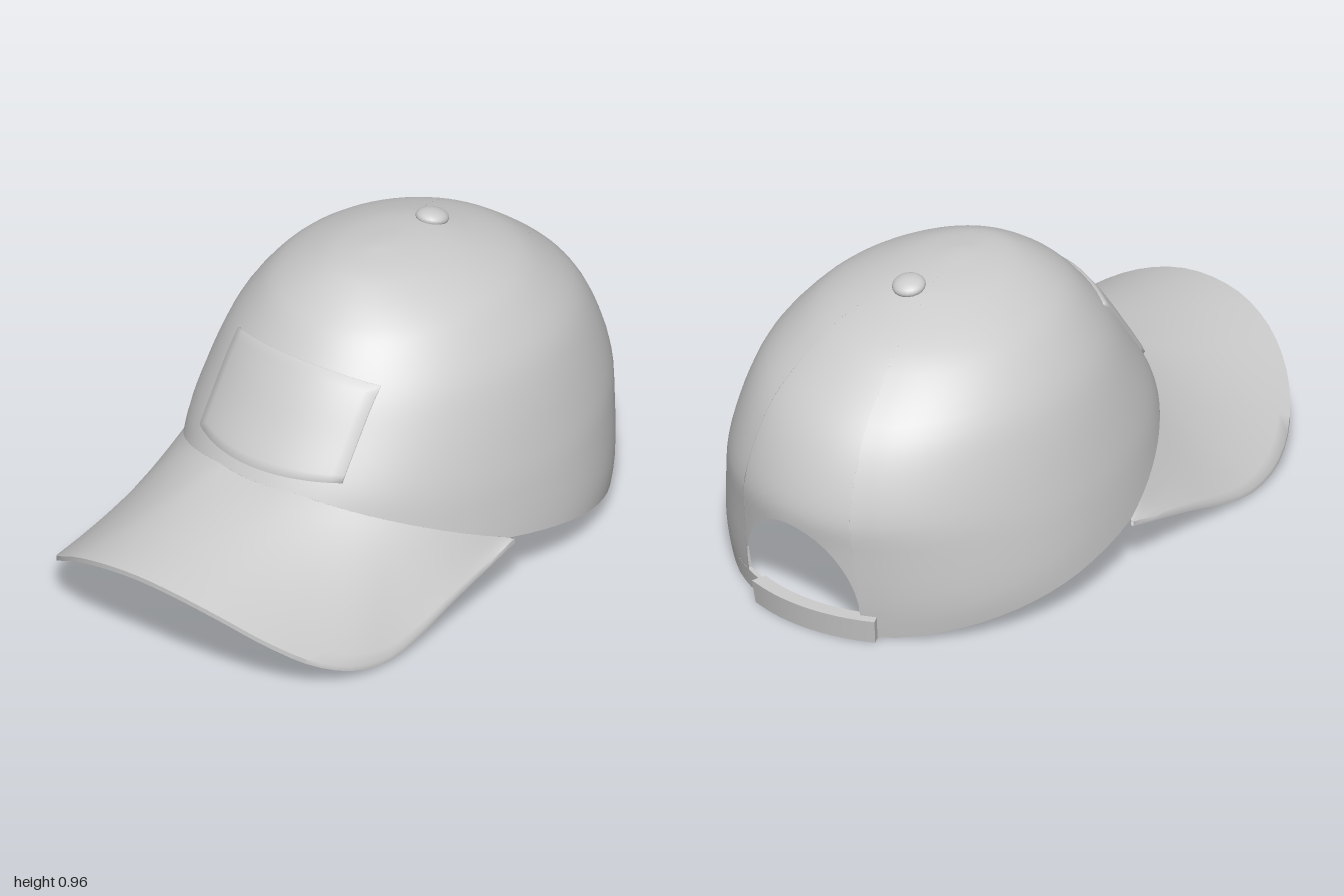
import * as THREE from 'three';
import { mergeVertices, toCreasedNormals } from 'three/addons/utils/BufferGeometryUtils.js';

const V = (x, y, z) => new THREE.Vector3(x, y, z);
const grey = new THREE.MeshStandardMaterial({ color: 0xcccccc, side: THREE.DoubleSide });

// Crown slices from rim to top: height, front z, back z, half width, centre z
const slices = [
  [0.00, 0.53, -0.95, 0.59, -0.30], [0.13, 0.53, -0.97, 0.61, -0.30],
  [0.30, 0.50, -0.99, 0.593, -0.30], [0.42, 0.465, -1.00, 0.57, -0.30],
  [0.57, 0.37, -0.95, 0.53, -0.30], [0.69, 0.29, -0.87, 0.48, -0.30],
  [0.80, 0.20, -0.74, 0.395, -0.28], [0.86, 0.13, -0.64, 0.32, -0.26],
  [0.91, 0.05, -0.50, 0.22, -0.23], [0.94, -0.03, -0.38, 0.125, -0.20],
  [0.957, -0.18, -0.18, 0, -0.18],
];
const frontCurve = new THREE.CatmullRomCurve3(slices.map(([y, f, , w]) => V(f, y, w)), false, 'catmullrom');
const backCurve = new THREE.CatmullRomCurve3(slices.map(([y, , b, , c]) => V(b, y, c)), false, 'catmullrom');

// Curve parameter at a given height
function paramAt(y) {
  let lo = 0, hi = 1;
  for (let i = 0; i < 24; i++) {
    const mid = (lo + hi) / 2;
    if (frontCurve.getPoint(mid).y < y) lo = mid; else hi = mid;
  }
  return (lo + hi) / 2;
}

// Point on the crown; angle 0 is the front, PI / 2 is +x
function crownPoint(angle, s, offset = 0) {
  const f = frontCurve.getPoint(s), b = backCurve.getPoint(s);
  const c = Math.cos(angle), zc = b.z;
  const reach = (c > 0 ? f.x - zc : zc - b.x) + offset;
  return V((f.z + offset) * Math.sin(angle), f.y, zc + reach * c);
}

// Lower rim: rises to the brim in front, dips towards the back
function rimY(angle) {
  const c = Math.cos(angle);
  const z = -0.3 + (c > 0 ? 0.8 : 0.68) * c;
  return z > -0.08 ? 0.18 + 0.24 * Math.min(1, (z + 0.08) / 0.56) : Math.max(0.008, 0.18 + 0.215 * (z + 0.08));
}

// Surface through a grid of points
function grid(nu, nv, point) {
  const pos = [], index = [];
  for (let i = 0; i <= nu; i++) {
    for (let j = 0; j <= nv; j++) {
      pos.push(...point(i, j).toArray());
      if (i < nu && j < nv) {
        const a = i * (nv + 1) + j, b = a + nv + 1;
        index.push(a, b, b + 1, a, b + 1, a + 1);
      }
    }
  }
  const geo = new THREE.BufferGeometry();
  geo.setAttribute('position', new THREE.Float32BufferAttribute(pos, 3));
  geo.setIndex(index);
  const merged = mergeVertices(geo, 1e-5);
  merged.computeVertexNormals();
  return merged;
}

// Closed band following the crown between two angles and two heights
function band(a0, a1, n, bottom, height, inner, outer) {
  const loop = [[outer, 0], [outer, 1], [inner, 1], [inner, 0], [outer, 0]];
  const geo = grid(n + 2, 4, (i, j) => {
    const k = THREE.MathUtils.clamp(i - 1, 0, n);
    const angle = THREE.MathUtils.lerp(a0, a1, k / n);
    // the first and last rings collapse to cap the ends
    const [off, up] = i === 0 || i === n + 2 ? [(inner + outer) / 2, 0.5] : loop[j];
    return crownPoint(angle, paramAt(bottom(angle) + up * height), off);
  });
  return toCreasedNormals(geo, 0.7);
}

export function createModel() {
  const cap = new THREE.Group();
  cap.name = 'cap';
  const add = (name, geo) => {
    const mesh = new THREE.Mesh(geo, grey);
    mesh.name = name;
    cap.add(mesh);
    return mesh;
  };

  // Crown, with an arched opening at the back
  const archHalf = 0.375, columns = [];
  for (let i = 0; i <= 64; i++) {
    const angle = THREE.MathUtils.lerp(Math.PI + archHalf, 3 * Math.PI - archHalf, i / 64);
    columns.push([angle, paramAt(rimY(angle))]);
  }
  for (let i = 0; i <= 20; i++) {
    const phi = (i / 20 - 0.5) * Math.PI;
    columns.push([3 * Math.PI + archHalf * Math.sin(phi), paramAt(0.08 + 0.28 * Math.cos(phi))]);
  }
  add('crown', grid(columns.length - 1, 28, (i, j) => {
    const [angle, s0] = columns[i];
    return crownPoint(angle, THREE.MathUtils.lerp(s0, 1, j / 28));
  }));

  // Inner sweatband along the rim
  add('sweatband', band(Math.PI + archHalf + 0.02, 3 * Math.PI - archHalf - 0.02, 64, rimY, 0.14, -0.014, -0.001));

  // Raised panel on the front, its border tucked into the crown
  add('frontPanel', grid(20, 14, (i, j) => {
    const x = THREE.MathUtils.lerp(-0.275, 0.275, THREE.MathUtils.clamp((i - 1) / 18, 0, 1));
    const v = THREE.MathUtils.clamp((j - 1) / 12, 0, 1);
    const top = 0.75 - 0.5 * x * x;
    const s = paramAt(THREE.MathUtils.lerp(0.455, top, v));
    const border = i === 0 || i === 20 || j === 0 || j === 14;
    const p = crownPoint(Math.asin(x / frontCurve.getPoint(s).z), s);
    const out = border ? -0.004 : 0.007;
    return p.add(V(x * out, 0.5 * out, out));
  }));

  // Curved brim: ruled from the front rim to its outer edge, with thickness
  const half = [
    [0.6, 0.18, -0.08], [0.592, 0.105, 0.2], [0.588, 0.05, 0.38], [0.583, 0.03, 0.5], [0.56, 0.05, 0.64],
    [0.5, 0.105, 0.77], [0.4, 0.19, 0.88], [0.28, 0.265, 0.95], [0.14, 0.313, 0.99],
  ];
  const edge = new THREE.CatmullRomCurve3([
    ...half.map(([x, y, z]) => V(-x, y, z)), V(0, 0.328, 1), ...half.map(([x, y, z]) => V(x, y, z)).reverse(),
  ]);
  const reach = Math.acos(0.22 / 0.8), nu = 56, nv = 12;
  const brim = grid(nu, 2 * nv + 2, (i, j) => {
    const u = i / nu, angle = THREE.MathUtils.lerp(-reach, reach, u);
    const seam = crownPoint(angle, paramAt(rimY(angle)));
    // underside first, then around the edge and back over the top
    const under = j <= nv, k = under ? j : 2 * nv + 1 - j;
    const v = Math.max(0, k) / nv;
    const p = seam.lerp(edge.getPointAt(u), v);
    p.y -= 0.012 * Math.sin(Math.PI * v) * Math.cos(angle);
    if (under || j === 2 * nv + 2) p.y -= 0.016;
    return p;
  });
  // underside-first order faces inward, so turn the triangles round
  const idx = brim.index.array;
  for (let i = 0; i < idx.length; i += 3) [idx[i], idx[i + 1]] = [idx[i + 1], idx[i]];
  brim.computeVertexNormals();
  add('brim', toCreasedNormals(brim, 0.9));

  // Adjustable strap across the opening: two overlapping pieces
  const back = Math.PI;
  add('strapUnder', band(back - 0.5, back - 0.1, 10, () => 0.01, 0.065, -0.014, 0.0));
  add('strapOver', band(back - 0.26, back + 0.46, 16, () => 0.003, 0.08, -0.02, 0.03));

  // Button on top
  const button = add('topButton', new THREE.SphereGeometry(0.052, 20, 12));
  button.scale.y = 0.5;
  button.position.set(0.005, 0.937, -0.42);
  button.rotation.x = -0.2;

  return cap;
}
